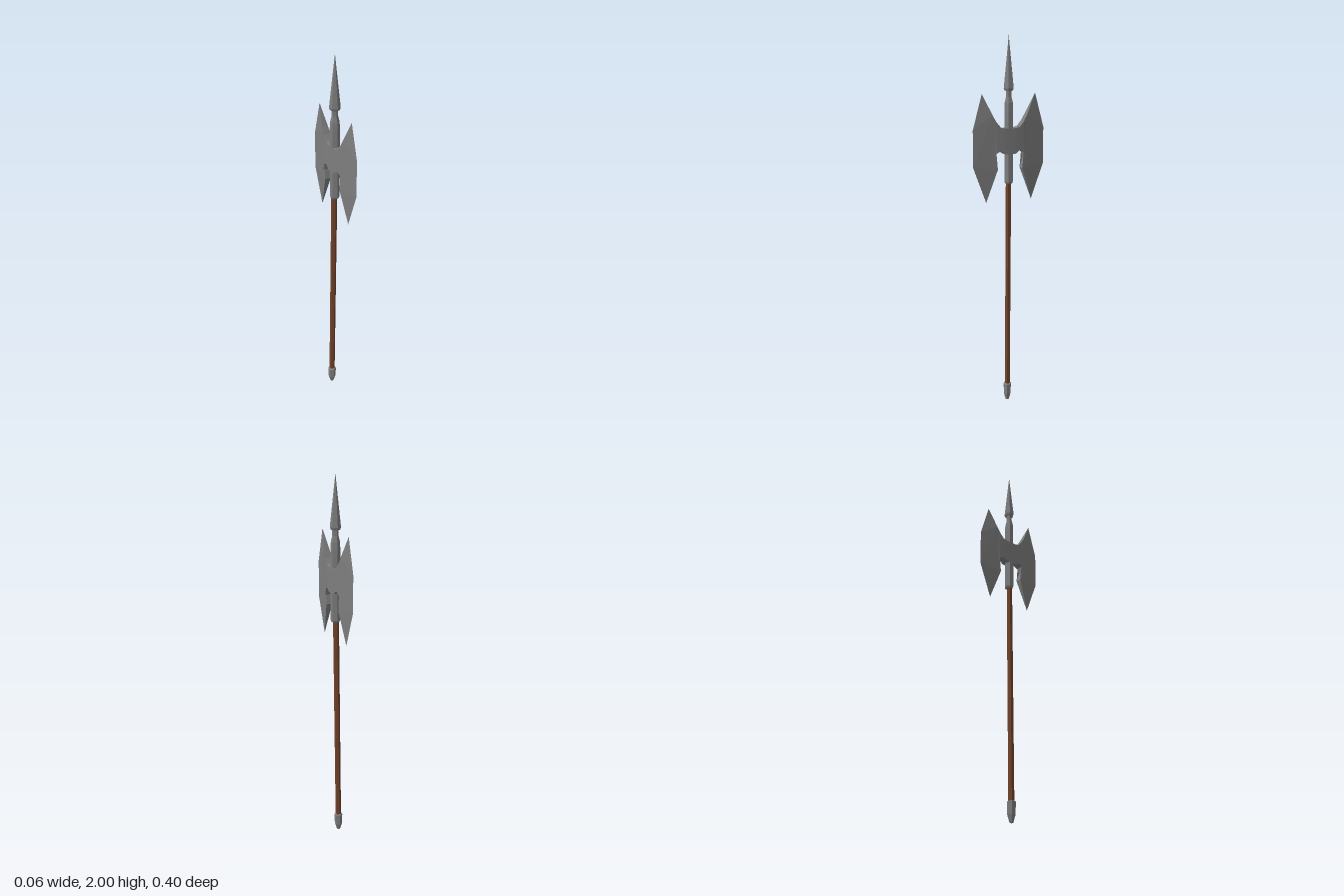
import * as THREE from 'three';

const steel = new THREE.MeshStandardMaterial({ color: 0x7e7e7e, flatShading: true });
steel.name = 'steel';
const wood = new THREE.MeshStandardMaterial({ color: 0x70432a, flatShading: true });
wood.name = 'wood';

// Six-sided turned part from [radius, y] pairs, listed bottom to top
function turned(name, material, profile) {
  const points = profile.map(([r, y]) => new THREE.Vector2(r, y));
  const mesh = new THREE.Mesh(new THREE.LatheGeometry(points, 6), material);
  mesh.name = name;
  return mesh;
}

// One half of the double blade, lofted from the middle out to a sharp edge
function blade(side) {
  // ribs: [top z, top y, bottom z, bottom y, half thickness]
  const ribs = [
    [0, 1.543, 0, 1.41, 0.023],
    [0.03, 1.543, 0.028, 1.412, 0.0228],
    [0.055, 1.55, 0.055, 1.43, 0.021],
    [0.078, 1.577, 0.078, 1.417, 0.019],
    [0.095, 1.607, 0.086, 1.383, 0.0165],
    [0.098, 1.612, 0.07, 1.335, 0.0165],
  ];
  const positions = [];
  const tri = (a, b, c) => {
    for (const p of side > 0 ? [a, b, c] : [a, c, b]) positions.push(p[0], p[1], p[2] * side);
  };
  const quad = (a, b, c, d) => { tri(a, b, c); tri(a, c, d); };
  const corners = ([tz, ty, bz, by, t]) => [[t, ty, tz], [t, by, bz], [-t, by, bz], [-t, ty, tz]];

  for (let i = 0; i < ribs.length - 1; i++) {
    const a = corners(ribs[i]), b = corners(ribs[i + 1]);
    for (let k = 0; k < 4; k++) {
      const n = (k + 1) % 4;
      quad(a[k], b[k], b[n], a[n]);
    }
  }
  // Cutting edge with upper and lower points
  const [tr, br, bl, tl] = corners(ribs[ribs.length - 1]);
  const tipTop = [0, 1.717, 0.149], edgeTop = [0, 1.54, 0.2];
  const edgeBottom = [0, 1.35, 0.2], tipBottom = [0, 1.163, 0.13];
  tri(tr, tipTop, edgeTop);
  quad(tr, edgeTop, edgeBottom, br);
  tri(br, edgeBottom, tipBottom);
  tri(tl, edgeTop, tipTop);
  quad(tl, bl, edgeBottom, edgeTop);
  tri(bl, tipBottom, edgeBottom);
  tri(tl, tipTop, tr);
  tri(br, tipBottom, bl);

  const geometry = new THREE.BufferGeometry();
  geometry.setAttribute('position', new THREE.Float32BufferAttribute(positions, 3));
  geometry.computeVertexNormals();
  const mesh = new THREE.Mesh(geometry, steel);
  mesh.name = side > 0 ? 'frontBlade' : 'backBlade';
  mesh.position.x = 0.007;
  return mesh;
}

export function createModel() {
  const model = new THREE.Group();
  model.name = 'doubleAxe';

  // Shaft and pommel lean very slightly towards the head
  const handle = new THREE.Group();
  handle.name = 'handle';
  handle.position.x = -0.0135;
  handle.rotation.z = -0.0125;
  handle.add(
    turned('shaft', wood, [[0.0155, 0.09], [0.0155, 1.28]]),
    turned('pommel', steel, [[0, 0], [0.01, 0.002], [0.021, 0.04], [0.023, 0.1], [0.0155, 0.104], [0, 0.104]]),
  );

  // Upright head: socket, neck, spear point and the two blades
  const head = new THREE.Group();
  head.name = 'head';
  const socket = turned('socket', steel, [
    [0, 1.257], [0.021, 1.257], [0.025, 1.267], [0.025, 1.63], [0.023, 1.67], [0.016, 1.7], [0.016, 1.74],
  ]);
  const spear = turned('spearPoint', steel, [[0, 1.73], [0.024, 1.73], [0.028, 1.742], [0, 2]]);
  socket.position.x = spear.position.x = 0.0055;
  head.add(socket, spear, blade(1), blade(-1));

  model.add(handle, head);
  return model;
}
